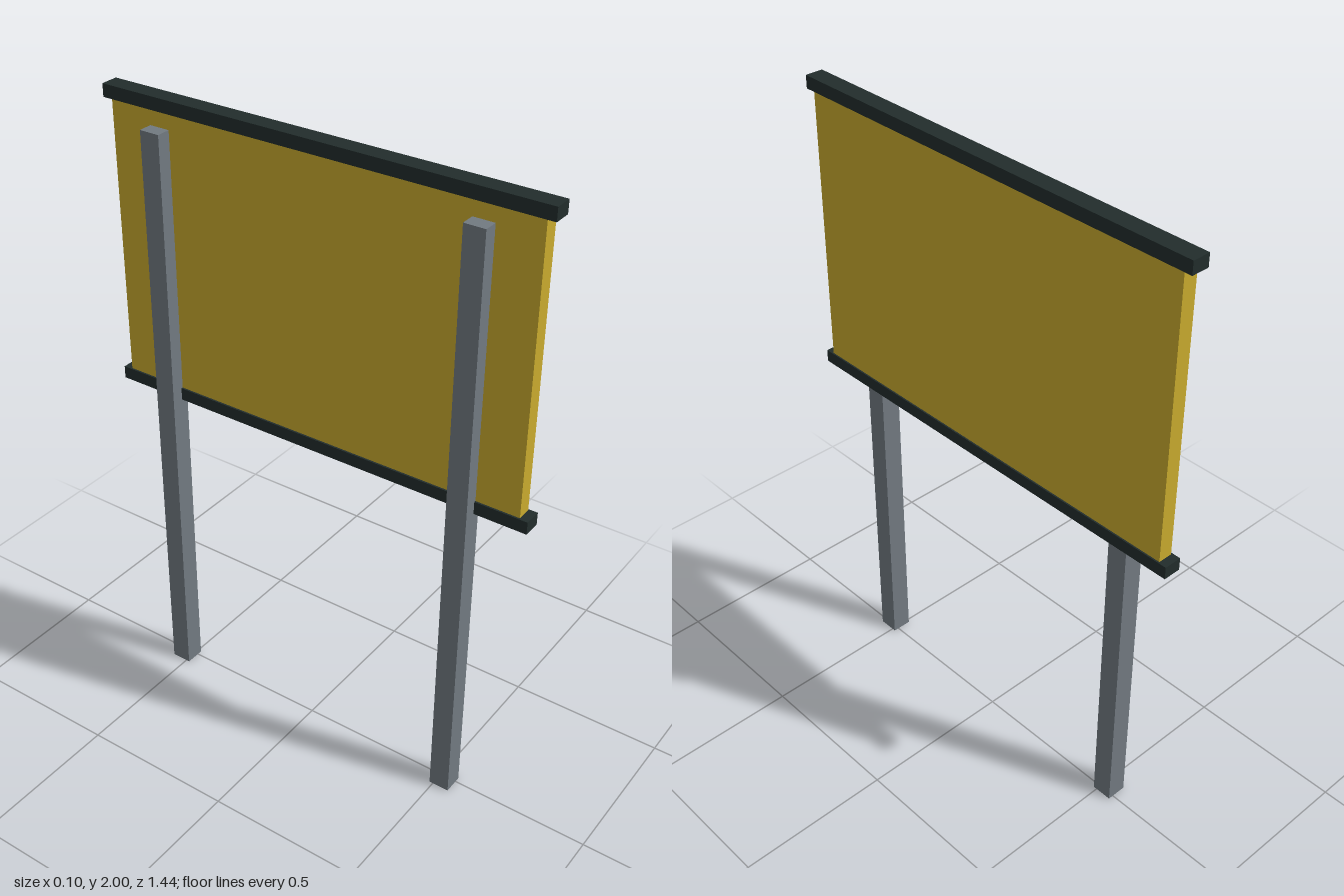
import * as THREE from 'three';

export function createModel() {
  const group = new THREE.Group();
  const mat = (name, color) => {
    const m = new THREE.MeshStandardMaterial({ color });
    m.name = name;
    return m;
  };
  const yellow = mat('yellow panel', 0xc9ab2e);
  const dark = mat('dark trim', 0x222d2c);
  const grey = mat('grey post', 0x727a81);

  // Box given by its extents along each axis
  const box = (name, material, [x0, x1], [y0, y1], [z0, z1]) => {
    const mesh = new THREE.Mesh(new THREE.BoxGeometry(x1 - x0, y1 - y0, z1 - z0), material);
    mesh.position.set((x0 + x1) / 2, (y0 + y1) / 2, (z0 + z1) / 2);
    mesh.name = name;
    group.add(mesh);
  };

  // Sign panel facing +x, held between two rails
  box('panel', yellow, [-0.003, 0.043], [1.07, 1.97], [-0.693, 0.693]);
  box('topRail', dark, [-0.009, 0.048], [1.96, 2], [-0.72, 0.72]);
  box('bottomRail', dark, [-0.009, 0.048], [1.04, 1.08], [-0.72, 0.72]);

  // Square posts behind the panel
  for (const [name, z] of [['frontPost', 0.521], ['backPost', -0.521]]) {
    box(name, grey, [-0.048, 0.017], [0, 1.912], [z - 0.033, z + 0.033]);
  }
  return group;
}
